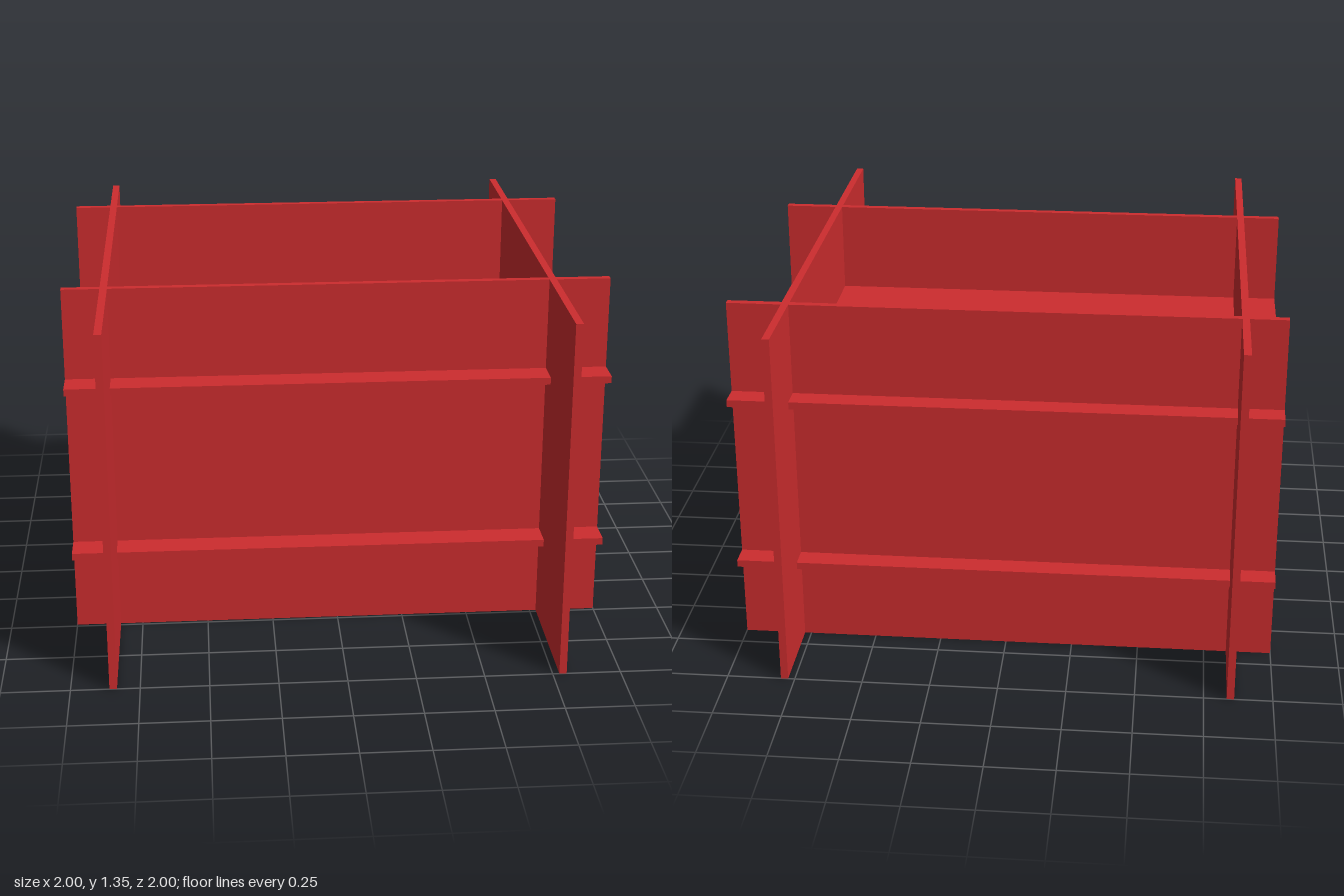
import * as THREE from 'three';

const HEIGHT = 1.345;
const SHEET = 0.027; // thickness of every panel

export function createModel() {
  const model = new THREE.Group();
  model.name = 'interlockingPanelBox';

  const red = new THREE.MeshStandardMaterial({ color: 0xcc2c2e });
  red.name = 'red';

  function addPanel(name, size, position) {
    const panel = new THREE.Mesh(new THREE.BoxGeometry(...size), red);
    panel.name = name;
    panel.position.set(...position);
    model.add(panel);
  }

  // Upright side panels, running front to back
  for (const [name, x] of [['rightSidePanel', -0.847], ['leftSidePanel', 0.788]]) {
    addPanel(name, [SHEET, HEIGHT, 2], [x, HEIGHT / 2, 0]);
  }

  // Upright front and back panels, running side to side
  for (const [name, z] of [['frontPanel', 0.474], ['backPanel', -0.652]]) {
    addPanel(name, [2, HEIGHT, SHEET], [0, HEIGHT / 2, z]);
  }

  // Horizontal shelves passing through all four uprights
  for (const [name, y] of [['lowerShelf', 0.336], ['upperShelf', 0.989]]) {
    addPanel(name, [2, SHEET, HEIGHT], [0, y, -0.078]);
  }

  return model;
}
